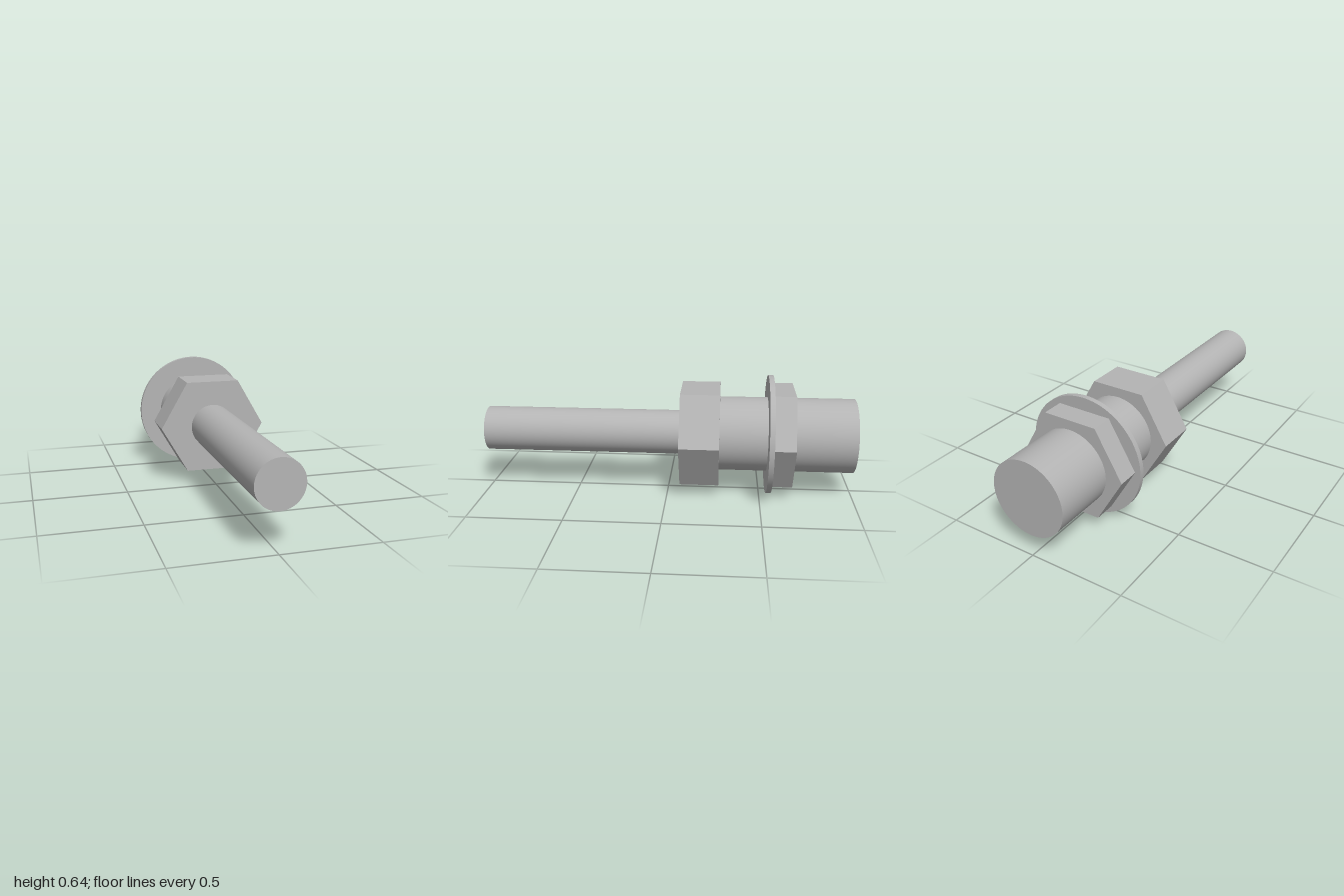
import * as THREE from 'three';

const AXIS_Y = 0.32; // height of the common axis

export function createModel() {
  const group = new THREE.Group();
  const steel = new THREE.MeshStandardMaterial({ color: 0xb4b4b4 });
  steel.name = 'grey steel';

  // Adds a solid of revolution or a hexagonal prism lying along z
  function addPart(name, radius, zFront, zBack, sides = 96) {
    const hex = sides === 6;
    let geometry = new THREE.CylinderGeometry(
      radius, radius, zFront - zBack, sides, 1, false, hex ? Math.PI / 2 : 0);
    if (hex) {
      geometry = geometry.toNonIndexed();
      geometry.computeVertexNormals(); // crisp flats
    }
    geometry.rotateX(Math.PI / 2);
    const mesh = new THREE.Mesh(geometry, steel);
    mesh.name = name;
    mesh.position.set(0, AXIS_Y, (zFront + zBack) / 2);
    group.add(mesh);
  }

  addPart('rod', 0.12, 1, -0.07);
  addPart('hexHead', 0.29, -0.07, -0.28, 6);
  addPart('body', 0.2, -0.28, -1);
  addPart('washer', 0.32, -0.535, -0.562);
  addPart('hexNut', 0.29, -0.562, -0.675, 6);

  group.name = 'threadedFitting';
  return group;
}
